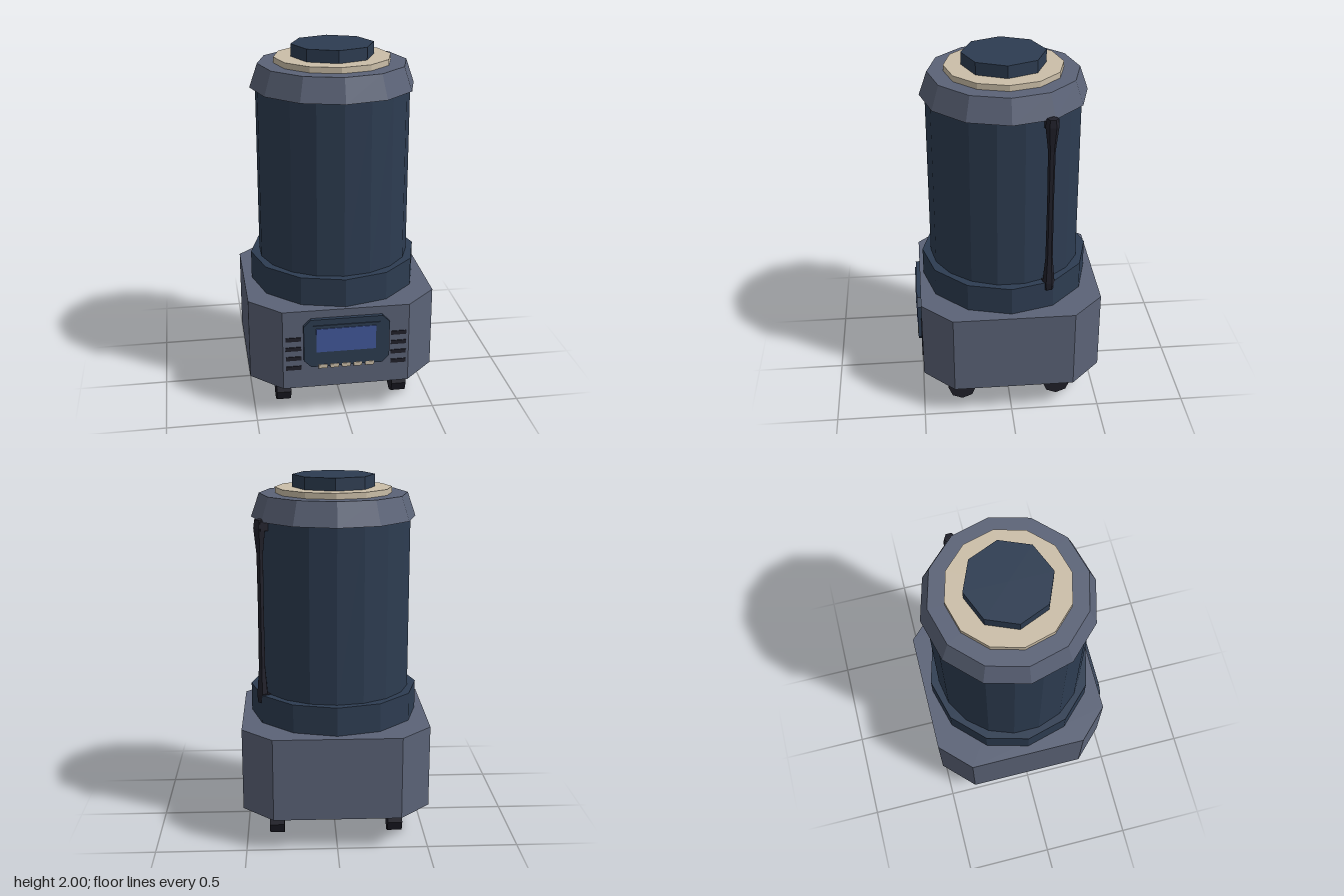
import * as THREE from 'three';

const mat = (name, color) => {
  const m = new THREE.MeshStandardMaterial({ color, flatShading: true });
  m.name = name;
  return m;
};

export function createModel() {
  const grey = mat('slate grey', 0x5b6377);
  const navy = mat('dark navy', 0x2d3c51);
  const cream = mat('cream', 0xcbbea8);
  const black = mat('rubber black', 0x20202a);
  const blue = mat('screen blue', 0x42599b);

  const model = new THREE.Group();
  model.name = 'canisterMachine';

  const add = (name, geometry, material, x = 0, y = 0, z = 0, parent = model) => {
    const mesh = new THREE.Mesh(geometry, material);
    mesh.name = name;
    mesh.position.set(x, y, z);
    parent.add(mesh);
    return mesh;
  };
  const box = (name, material, w, h, d, x, y, z, parent) =>
    add(name, new THREE.BoxGeometry(w, h, d), material, x, y, z, parent);
  const drum = (name, material, rTop, rBottom, y0, y1, sides) =>
    add(name, new THREE.CylinderGeometry(rTop, rBottom, y1 - y0, sides), material, 0, (y0 + y1) / 2, 0);

  // Rectangle with cut corners, extruded along z
  const cutBox = (w, h, cut, depth) => {
    const a = w / 2, b = h / 2;
    const shape = new THREE.Shape([
      [-a + cut, -b], [a - cut, -b], [a, -b + cut], [a, b - cut],
      [a - cut, b], [-a + cut, b], [-a, b - cut], [-a, -b + cut],
    ].map(([x, y]) => new THREE.Vector2(x, y)));
    return new THREE.ExtrudeGeometry(shape, { depth, bevelEnabled: false });
  };

  // Base housing
  add('baseHousing', cutBox(1.04, 1.015, 0.17, 0.465).rotateX(-Math.PI / 2), grey, 0, 0.185, -0.012);

  // Stacked canister
  drum('collar', navy, 0.473, 0.473, 0.65, 0.81, 12);
  drum('tank', navy, 0.425, 0.425, 0.8, 1.78, 18);
  drum('lid', grey, 0.41, 0.455, 1.77, 1.9, 12);
  drum('lidRing', cream, 0.322, 0.322, 1.89, 1.932, 12);
  drum('topKnob', navy, 0.228, 0.228, 1.92, 2.0, 8);

  // Control panel on the front
  const panel = new THREE.Group();
  panel.name = 'controlPanel';
  model.add(panel);
  add('panelFrame', cutBox(0.474, 0.285, 0.04, 0.028), navy, 0, 0.4625, 0.49, panel);
  box('screen', blue, 0.33, 0.14, 0.006, -0.004, 0.48, 0.519, panel);
  box('screenVisor', navy, 0.37, 0.012, 0.008, 0, 0.565, 0.52, panel);
  for (let i = -2; i <= 2; i++) {
    box('panelButton', cream, 0.047, 0.022, 0.028, -0.003 + i * 0.065, 0.321, 0.507, panel);
  }

  // Vent slots either side of the panel
  for (const side of [-1, 1]) {
    for (let i = 0; i < 4; i++) {
      box('ventSlot', black, 0.085, 0.023, 0.008, side * 0.292, 0.31 + i * 0.058, 0.496);
    }
  }

  // Casters
  for (const x of [-0.333, 0.333]) {
    for (const z of [0.278, -0.275]) {
      const caster = new THREE.Group();
      caster.name = 'caster';
      caster.position.set(x, 0, z);
      model.add(caster);
      box('casterFork', grey, 0.1, 0.09, 0.075, 0, 0.143, 0, caster);
      const wheel = new THREE.CylinderGeometry(0.08, 0.08, 0.082, 8).rotateZ(Math.PI / 2);
      add('casterWheel', wheel, black, 0, 0.08, 0, caster);
    }
  }

  // Cable on the back left: slim in the middle, thicker at both ends
  const cable = new THREE.Group();
  cable.name = 'cable';
  cable.position.set(0.405, 0, -0.209);
  model.add(cable);
  const profile = [
    [0, 0.76], [0.028, 0.765], [0.033, 0.81], [0.02, 0.96],
    [0.018, 1.3], [0.02, 1.6], [0.036, 1.74], [0.03, 1.782], [0, 1.788],
  ].map(([r, y]) => new THREE.Vector2(r, y));
  add('cableLength', new THREE.LatheGeometry(profile, 6), black, 0, 0, 0, cable);
  for (const y of [0.79, 1.75]) {
    box('cableClamp', black, 0.06, 0.05, 0.06, -0.02, y, 0.005, cable).rotation.y = 0.46;
  }

  return model;
}
